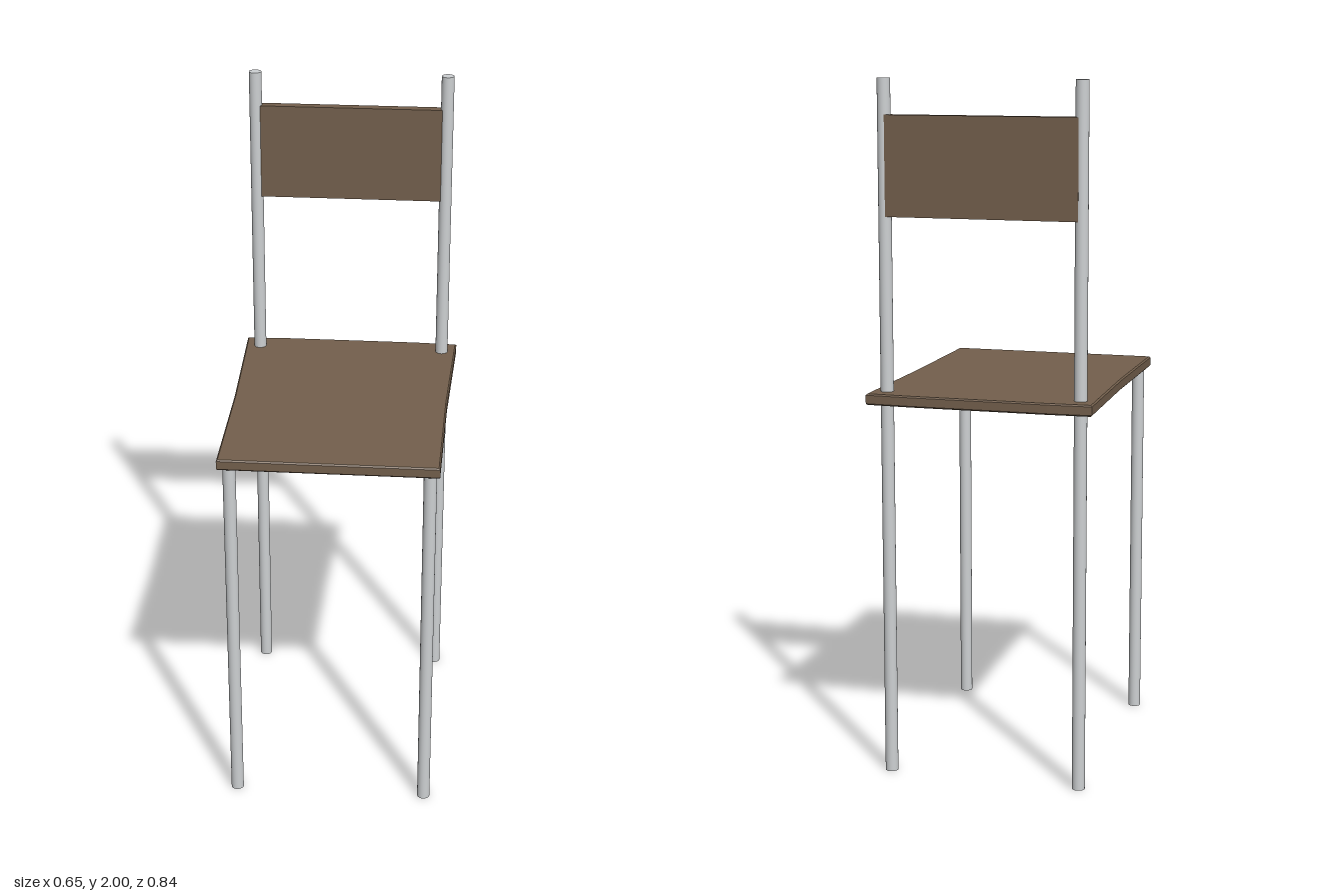
import * as THREE from 'three';

const RADIUS = 0.0185;
const SEAT_BOTTOM = 1.095;
const SEAT_TOP = 1.127;

export function createModel() {
  const chair = new THREE.Group();
  chair.name = 'chair';

  const wood = new THREE.MeshStandardMaterial({ color: 0x735f4c });
  wood.name = 'brown wood';
  const metal = new THREE.MeshStandardMaterial({ color: 0xcdd0d2 });
  metal.name = 'pale grey metal';

  const add = (name, geometry, material, x = 0, y = 0, z = 0) => {
    const mesh = new THREE.Mesh(geometry, material);
    mesh.name = name;
    mesh.position.set(x, y, z);
    chair.add(mesh);
  };

  // Seat board, slightly wider at the back, with softly bevelled edges
  const bevel = 0.004;
  const outline = new THREE.Shape([
    [-0.312, -0.419], [0.309, -0.419], [0.312, 0], [0.325, 0.419],
    [0.2, 0.424], [-0.2, 0.424], [-0.327, 0.419], [-0.314, 0],
  ].map(([x, y]) => new THREE.Vector2(x, y)));
  const seat = new THREE.ExtrudeGeometry(outline, {
    depth: SEAT_TOP - SEAT_BOTTOM - 2 * bevel,
    bevelThickness: bevel, bevelSize: bevel, bevelOffset: -bevel, bevelSegments: 1,
  });
  seat.rotateX(-Math.PI / 2);
  add('seat', seat, wood, 0, SEAT_BOTTOM + bevel, 0);

  // Backrest panel between the rear posts
  add('backrest', new THREE.BoxGeometry(0.55, 0.28, 0.03), wood, 0, 1.76, -0.364);

  // Round rods: front legs stop under the seat, rear posts run to the top
  const rod = (name, height, x, z) =>
    add(name, new THREE.CylinderGeometry(RADIUS, RADIUS, height, 20), metal, x, height / 2, z);
  for (const [side, x] of [['left', 0.281], ['right', -0.281]]) {
    rod(`${side}FrontLeg`, SEAT_BOTTOM + 0.005, x, 0.385);
    rod(`${side}RearPost`, 2, x, -0.361);
  }

  return chair;
}
